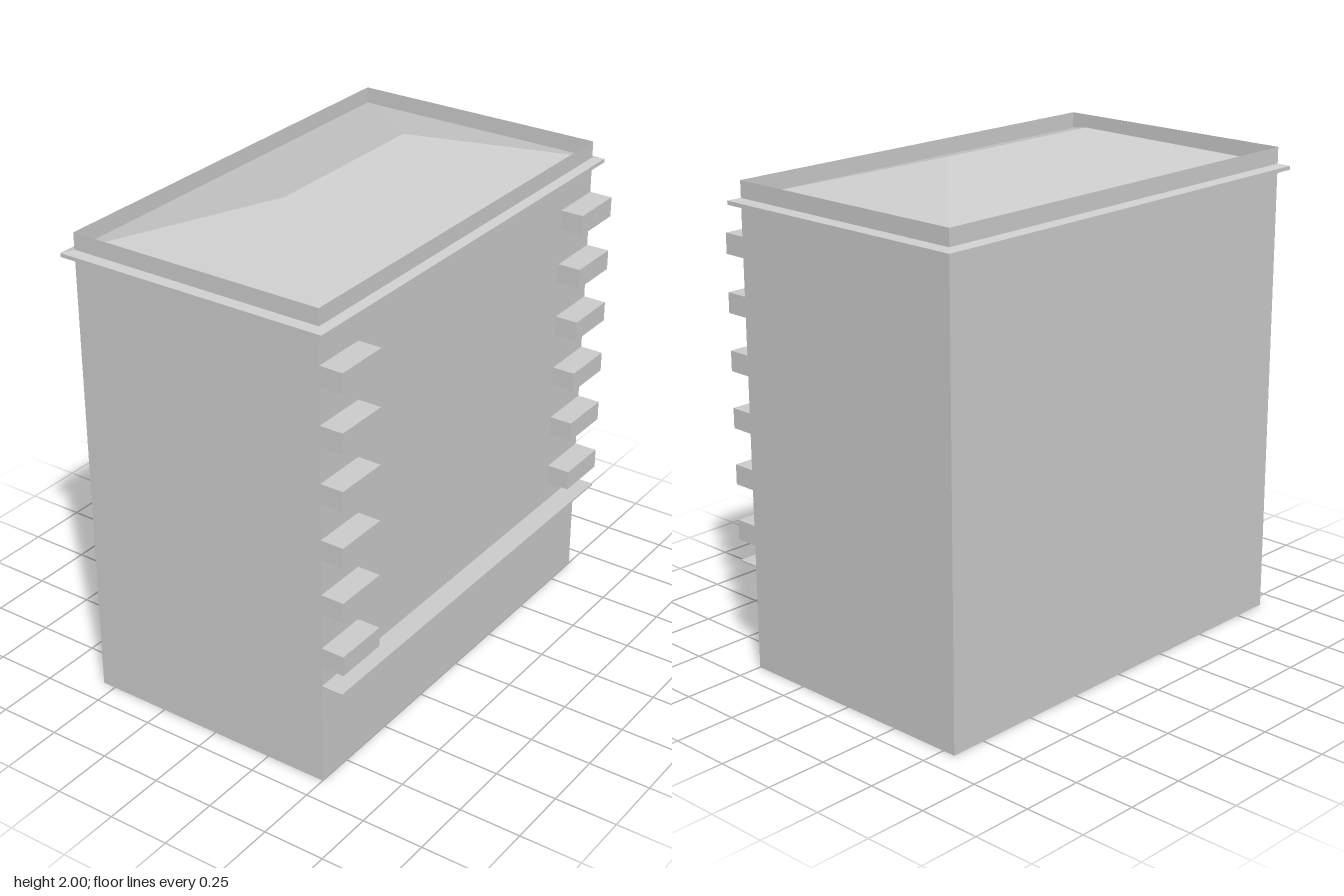
import * as THREE from 'three';

const W = 0.9;                       // half width of the walls
const FRONT = 0.5, BACK = -0.555;    // wall planes
const MID_Z = (FRONT + BACK) / 2;
const HALF_D = (FRONT - BACK) / 2;

// Flat-sided skin through rectangular rings [halfWidth, halfDepth, y]
function loftRects(rings) {
  const pos = [];
  const signs = [[-1, 1], [1, 1], [1, -1], [-1, -1]];
  const corner = ([hx, hz, y], i) => {
    const [sx, sz] = signs[i % 4];
    return [sx * hx, y, MID_Z + sz * hz];
  };
  for (let r = 0; r < rings.length - 1; r++) {
    for (let i = 0; i < 4; i++) {
      const a = corner(rings[r], i), b = corner(rings[r], i + 1);
      const c = corner(rings[r + 1], i + 1), d = corner(rings[r + 1], i);
      pos.push(...a, ...b, ...c, ...a, ...c, ...d);
    }
  }
  const geo = new THREE.BufferGeometry();
  geo.setAttribute('position', new THREE.Float32BufferAttribute(pos, 3));
  geo.computeVertexNormals();
  return geo;
}

export function createModel() {
  const model = new THREE.Group();
  model.name = 'building';

  const grey = new THREE.MeshStandardMaterial({ color: 0xcccccc, side: THREE.DoubleSide, flatShading: true });
  grey.name = 'light grey';

  const add = (name, geo, parent = model) => {
    const mesh = new THREE.Mesh(geo, grey);
    mesh.name = name;
    parent.add(mesh);
    return mesh;
  };
  const addBox = (name, x0, x1, y0, y1, z0, z1, parent) =>
    add(name, new THREE.BoxGeometry(x1 - x0, y1 - y0, z1 - z0), parent)
      .position.set((x0 + x1) / 2, (y0 + y1) / 2, (z0 + z1) / 2);
  const addGroup = (name) => {
    const g = new THREE.Group();
    g.name = name;
    model.add(g);
    return g;
  };

  // Thin walls, open below, rising past the roof edge as a parapet
  add('walls', loftRects([[W, HALF_D, 0], [W, HALF_D, 1.92]]));

  // Hipped roof whose eaves pass through the walls and form the cornice
  add('hippedRoof', loftRects([
    [0.375, 0, 1.83], [0.935, 0.562, 1.83], [0.935, 0.562, 1.845], [0.375, 0, 2],
  ]));

  // Thin ledge across the front
  addBox('frontLedge', -W, W, 0.416, 0.424, FRONT, 0.588);

  // Corner blocks up both edges of the front
  const blocks = addGroup('cornerBlocks');
  for (let i = 0; i < 6; i++) {
    const y = 0.507 + i * 0.2248;
    addBox('leftCornerBlock', 0.675, W, y, y + 0.08, FRONT, 0.594, blocks);
    addBox('rightCornerBlock', -W, -0.675, y, y + 0.08, FRONT, 0.594, blocks);
  }

  // Panels on the inner face of the front wall
  const panels = addGroup('innerPanels');
  for (let i = -2; i <= 2; i++) {
    const x = i * 0.36;
    addBox('lowerPanel', x - 0.163, x + 0.163, 0.22, 0.41, 0.47, FRONT - 0.002, panels);
  }
  for (let i = -1; i <= 1; i++) {
    const x = i * 0.45;
    addBox('upperPanel', x - 0.205, x + 0.205, 0.56, 0.67, 0.47, FRONT - 0.002, panels);
  }

  return model;
}
